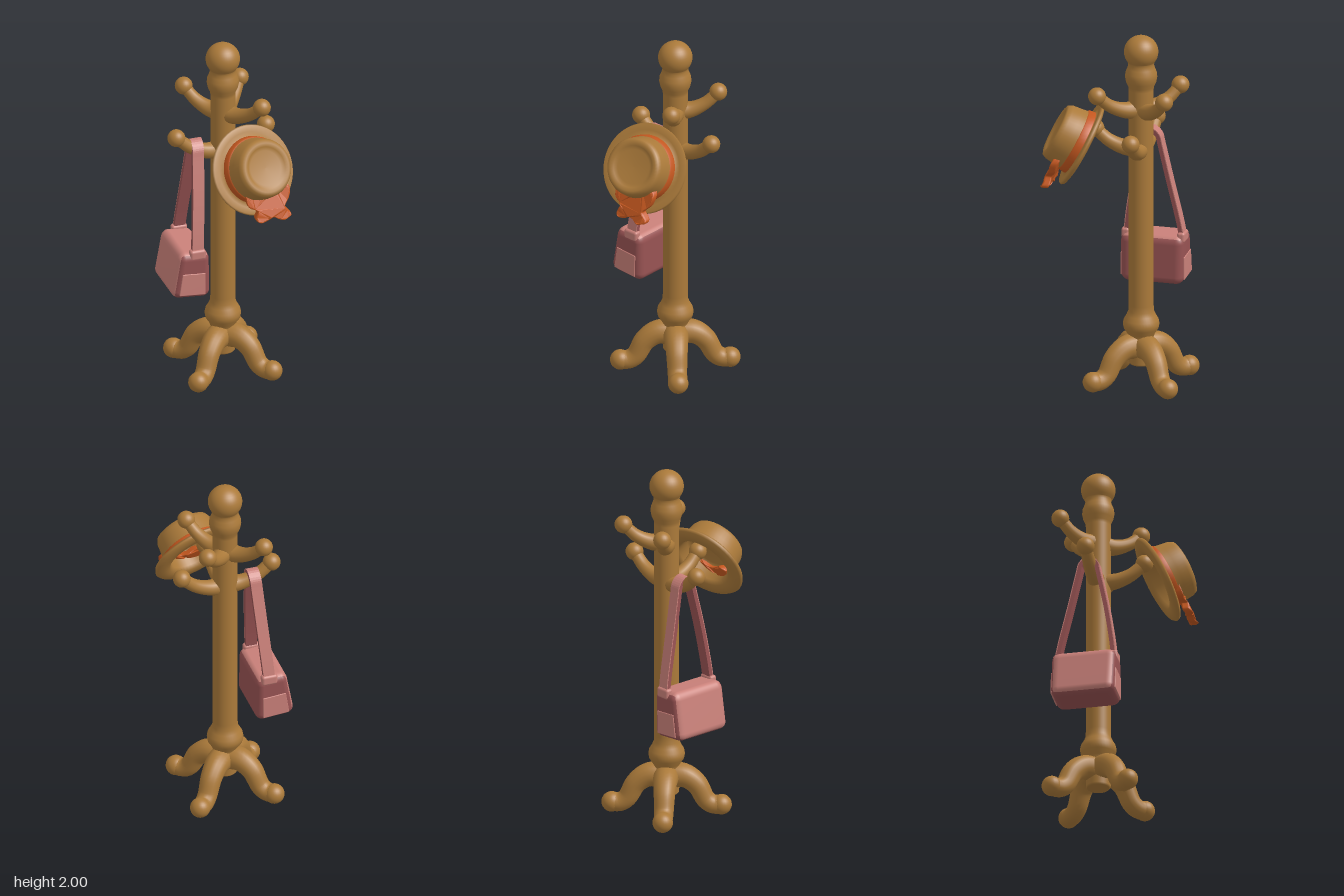
import * as THREE from 'three';
import { mergeVertices } from 'three/addons/utils/BufferGeometryUtils.js';
import { RoundedBoxGeometry } from 'three/addons/geometries/RoundedBoxGeometry.js';

const V = (x, y, z) => new THREE.Vector3(x, y, z);
const P = (list) => list.map(([x, y]) => new THREE.Vector2(x, y));
const POLE = V(0.017, 0, -0.13);

const mat = (name, color, side = THREE.FrontSide) => {
  const m = new THREE.MeshStandardMaterial({ color, side });
  m.name = name;
  return m;
};

function add(parent, name, geometry, material) {
  const mesh = new THREE.Mesh(geometry, material);
  mesh.name = name;
  parent.add(mesh);
  return mesh;
}

// Move every vertex by a rule, then refresh the normals
function deform(geometry, rule) {
  const pos = geometry.attributes.position;
  const v = V();
  for (let i = 0; i < pos.count; i++) {
    rule(v.fromBufferAttribute(pos, i));
    pos.setXYZ(i, v.x, v.y, v.z);
  }
  geometry.computeVertexNormals();
  return geometry;
}

// Round tube whose radius runs from r0 to r1
function taperedTube(points, r0, r1) {
  const curve = new THREE.CatmullRomCurve3(points);
  const n = 24, sides = 16;
  const geo = new THREE.TubeGeometry(curve, n, 1, sides);
  const pos = geo.attributes.position;
  const v = V();
  for (let i = 0; i < pos.count; i++) {
    const t = Math.floor(i / (sides + 1)) / n;
    const c = curve.getPointAt(t);
    const r = r1 + (r0 - r1) * (1 - t) ** 2;
    v.fromBufferAttribute(pos, i).sub(c).multiplyScalar(r).add(c);
    pos.setXYZ(i, v.x, v.y, v.z);
  }
  return geo;
}

// Limb leaving the pole along (dx, dz); profile holds [fraction of reach, height]
function limb(parent, name, dx, dz, profile, r0, r1, ball, material) {
  const limbGroup = new THREE.Group();
  limbGroup.name = name;
  const pts = profile.map(([f, y]) => V(POLE.x + dx * f, y, POLE.z + dz * f));
  add(limbGroup, name + 'Stem', taperedTube(pts, r0, r1), material);
  add(limbGroup, name + 'End', new THREE.SphereGeometry(ball, 24, 16), material).position.copy(pts[pts.length - 1]);
  parent.add(limbGroup);
}

function makeHat(wood, orange) {
  const hat = new THREE.Group();
  hat.name = 'hat';
  // Hollow crown and brim as one turned shell
  const shell = P([[0, 0.1], [0.12, 0.095], [0.14, 0.07], [0.15, 0.005], [0.17, -0.015], [0.21, -0.018],
    [0.24, -0.01], [0.249, 0.002], [0.243, 0.014], [0.21, 0.01], [0.182, 0.012], [0.176, 0.03],
    [0.168, 0.09], [0.162, 0.14], [0.152, 0.163], [0.135, 0.17], [0.115, 0.163], [0.095, 0.152], [0, 0.15]]);
  add(hat, 'hatShell', new THREE.LatheGeometry(shell, 48), wood);
  const band = P([[0.182, 0.012], [0.185, 0.015], [0.18, 0.05], [0.17, 0.056]]);
  add(hat, 'hatBand', new THREE.LatheGeometry(band, 48), orange);
  hat.position.set(0.08, 1.37, 0.185);
  hat.quaternion.setFromUnitVectors(V(0, 1, 0), V(0.21, 0.47, 0.85).normalize());
  return hat;
}

// Scalloped bow, pleated and leaning forward toward its lower edge
function makeBow() {
  const outline = P([[0, 1.31], [0.04, 1.325], [0.13, 1.29], [0.21, 1.325], [0.245, 1.3], [0.235, 1.25], [0.205, 1.21],
    [0.237, 1.165], [0.215, 1.152], [0.175, 1.15], [0.135, 1.17], [0.09, 1.148], [0.045, 1.16],
    [0.058, 1.205], [0.02, 1.225], [0.005, 1.25]]);
  const shape = new THREE.Shape();
  shape.moveTo(outline[0].x, outline[0].y);
  shape.splineThru([...outline.slice(1), outline[0]]);
  const geo = new THREE.ExtrudeGeometry(shape, {
    depth: 0.025, bevelEnabled: true, bevelThickness: 0.008, bevelSize: 0.006, bevelSegments: 3, curveSegments: 60,
  });
  return deform(geo, (v) => {
    v.z += 0.285 + (1.3 - v.y) * 0.42 + 0.006 * Math.cos((v.x - 0.13) * 90);
  });
}

// Ribbon loop drawn in the z-y plane, given its inner and outer offsets
function strapGeometry(a, b, width) {
  const centre = [[-0.312, 0.8], [-0.29, 0.92], [-0.245, 1.12], [-0.2, 1.33], [-0.185, 1.39], [-0.145, 1.42],
    [-0.105, 1.39], [-0.09, 1.33], [-0.045, 1.12], [-0.012, 0.92], [0.002, 0.8]];
  const curve = new THREE.SplineCurve(P(centre));
  const edge = (d) => curve.getPoints(50).map((p, i) => {
    const t = curve.getTangent(i / 50);
    return new THREE.Vector2(p.x - t.y * d, p.y + t.x * d);
  });
  const shape = new THREE.Shape([...edge(a), ...edge(b).reverse()]);
  const geo = new THREE.ExtrudeGeometry(shape, { depth: width, bevelEnabled: false });
  geo.rotateY(-Math.PI / 2);
  // Drift outward toward the bag
  return deform(geo, (v) => { v.x += width / 2 - 0.135 - (1.42 - v.y) * 0.065; });
}

function makeBag(pink, darkPink) {
  const bag = new THREE.Group();
  bag.name = 'bag';
  // Narrows toward the top and leans toward the pole
  const shear = (v) => {
    const t = THREE.MathUtils.clamp((v.y - 0.56) / 0.27, 0, 1);
    v.x = -0.212 + 0.022 * t + v.x * (1 - 0.24 * t);
    v.y += v.x * -0.08 - 0.017;
  };
  const box = (w, h, d, r, y, z) => {
    const geo = new RoundedBoxGeometry(w, h, d, 5, r);
    geo.deleteAttribute('normal');
    geo.deleteAttribute('uv');
    geo.translate(0, y, z);
    return deform(mergeVertices(geo), shear);
  };
  add(bag, 'bagBody', box(0.22, 0.275, 0.355, 0.045, 0.682, -0.15),
    [darkPink, pink, pink, darkPink, darkPink, darkPink]);
  for (const [name, z] of [['bagFrontPanel', 0.027], ['bagBackPanel', -0.327]]) {
    add(bag, name, box(0.15, 0.13, 0.009, 0.004, 0.635, z), pink);
  }
  // Strap: dark core with a light outer face
  add(bag, 'strapCore', strapGeometry(-0.012, 0.01, 0.064), darkPink);
  add(bag, 'strapFace', strapGeometry(0.01, 0.015, 0.064), pink);
  // Strap mounts on the bag's upper corners
  for (const z of [-0.31, 0.005]) {
    const mount = add(bag, 'strapMount', new RoundedBoxGeometry(0.09, 0.06, 0.045, 3, 0.015), pink);
    mount.position.set(-0.175, 0.805, z);
  }
  return bag;
}

export function createModel() {
  const wood = mat('wood', 0xab7a3a);
  const orange = mat('orange ribbon', 0xc4571f, THREE.DoubleSide);
  const pink = mat('pink leather', 0xc98079);
  const darkPink = mat('dark pink leather', 0x985353);

  const model = new THREE.Group();
  model.name = 'coatStand';

  // Turned pole with foot ring, collar and ball finial
  const profile = P([[0, 0.12], [0.06, 0.12], [0.068, 0.13], [0.068, 0.27], [0.075, 0.295], [0.095, 0.325], [0.1, 0.35],
    [0.095, 0.375], [0.08, 0.4], [0.07, 0.425], [0.068, 0.46], [0.068, 1.69], [0.07, 1.71], [0.082, 1.735],
    [0.088, 1.765], [0.086, 1.79], [0.076, 1.815], [0.07, 1.835], [0.073, 1.848]]);
  for (let i = 0; i <= 14; i++) {
    const a = -0.68 + (i / 14) * (Math.PI / 2 + 0.68);
    profile.push(new THREE.Vector2(Math.max(0, 0.094 * Math.cos(a)), 1.908 + 0.092 * Math.sin(a)));
  }
  add(model, 'pole', new THREE.LatheGeometry(profile, 40), wood).position.copy(POLE);

  // Four curved legs
  const legLine = [[0, 0.225], [0.33, 0.222], [0.55, 0.175], [0.72, 0.085], [0.85, 0.06], [1, 0.06]];
  for (const sx of [-1, 1]) {
    for (const sz of [-1, 1]) {
      limb(model, 'leg', sx * 0.212, sz * 0.212, legLine, 0.078, 0.052, 0.056, wood);
    }
  }

  // Three upper and three lower pegs
  const hookLine = (y) => [[0, y - 0.1], [0.35, y - 0.1], [0.7, y - 0.065], [1, y]];
  for (const [dx, dz] of [[-0.165, -0.175], [0.157, -0.175], [0.155, 0.205]]) {
    limb(model, 'upperPeg', dx, dz, hookLine(1.683), 0.06, 0.032, 0.049, wood);
  }
  for (const [dx, dz] of [[-0.262, -0.013], [0.252, -0.013], [0.03, 0.25]]) {
    limb(model, 'lowerPeg', dx, dz, hookLine(1.457), 0.055, 0.034, 0.049, wood);
  }

  model.add(makeHat(wood, orange));
  add(model, 'hatBow', makeBow(), orange);
  model.add(makeBag(pink, darkPink));
  return model;
}
